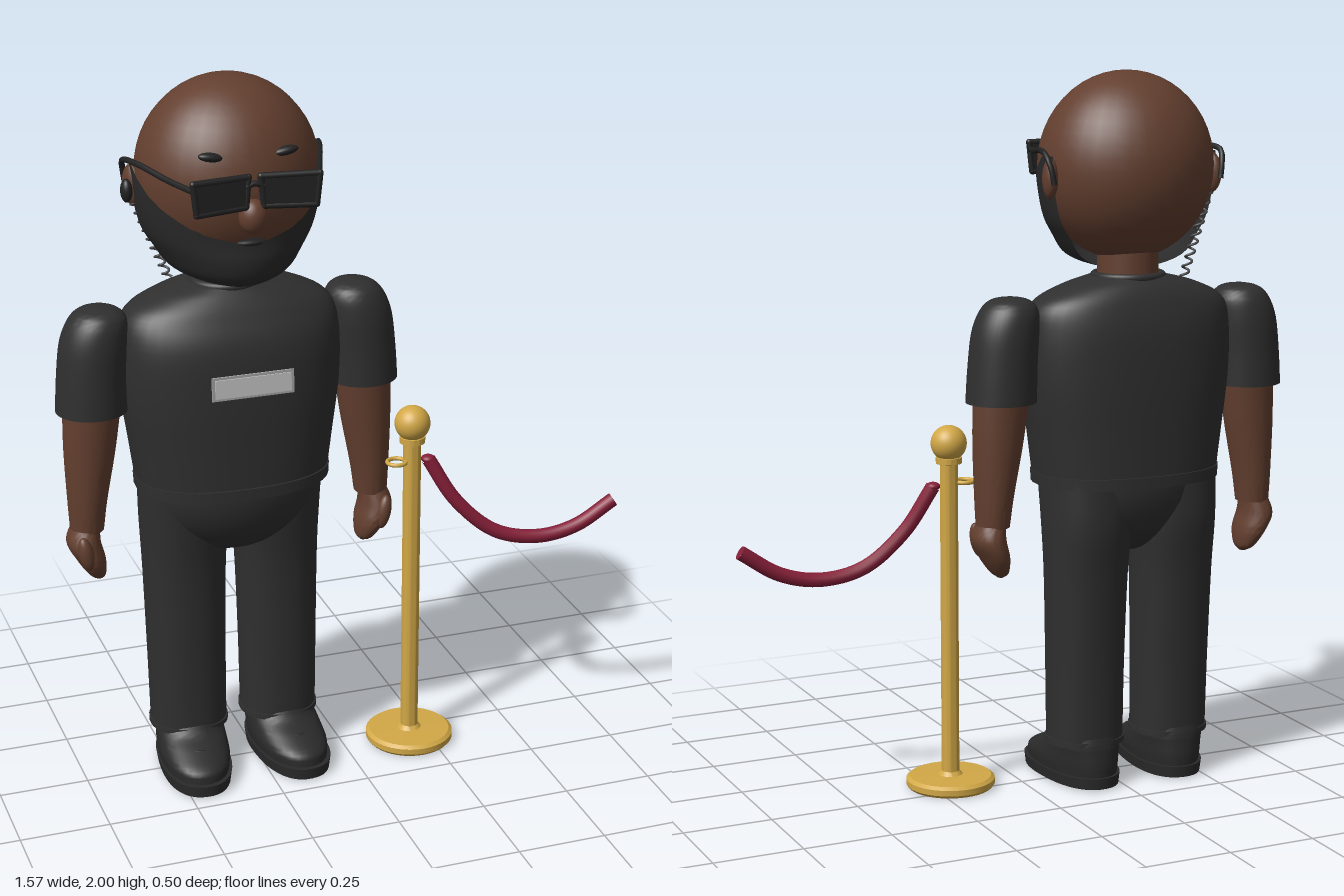
import * as THREE from 'three';
import { toCreasedNormals } from 'three/addons/utils/BufferGeometryUtils.js';

const mat = (name, color) => {
  const m = new THREE.MeshStandardMaterial({ color });
  m.name = name;
  return m;
};

export function createModel() {
  const model = new THREE.Group();
  const skin = mat('skin', 0x633f2f), cloth = mat('black cloth', 0x2f2f2f), dark = mat('beard and shoes', 0x2a2a2a);
  const frame = mat('glasses black', 0x222222), gold = mat('brass', 0xd2a847), red = mat('rope red', 0x861f38);
  const silver = mat('badge grey', 0xc8c8c8), rim = mat('badge border', 0xa6a6a6), eyeWhite = mat('eye white', 0xd8d8d8);
  const wireGrey = mat('wire grey', 0x4a4a4a);
  dark.side = THREE.DoubleSide;

  const man = new THREE.Group();
  man.name = 'guard';
  man.position.x = -0.304;
  model.add(man);

  const add = (name, geo, m, parent = man, x = 0, y = 0, z = 0) => {
    const mesh = new THREE.Mesh(geo, m);
    mesh.name = name;
    mesh.position.set(x, y, z);
    parent.add(mesh);
    return mesh;
  };
  const ball = (name, m, x, y, z, rx, ry, rz, parent = man) => {
    const b = add(name, new THREE.SphereGeometry(1, 32, 24), m, parent, x, y, z);
    b.scale.set(rx, ry, rz);
    return b;
  };
  const tube = (name, pts, r, m, parent = man, n = 24) => {
    const curve = new THREE.CatmullRomCurve3(pts.map(p => new THREE.Vector3(...p)));
    return add(name, new THREE.TubeGeometry(curve, n, r, 10), m, parent);
  };

  // Closed body from rows [y, cx, cz, rx, rz], bottom to top; e squares the outline
  const loft = (rows, e = 1, N = 40, sub = 5) => {
    const radii = new THREE.CatmullRomCurve3(rows.map(r => new THREE.Vector3(r[3], r[0], r[4])), false, 'catmullrom', 0.5);
    const mids = new THREE.CatmullRomCurve3(rows.map(r => new THREE.Vector3(r[1], r[0], r[2])), false, 'catmullrom', 0.5);
    const M = (rows.length - 1) * sub, pos = [], idx = [];
    const pw = v => Math.sign(v) * Math.abs(v) ** e;
    for (let j = -1; j <= M + 1; j++) {
      const t = Math.min(Math.max(j / M, 0), 1), r = radii.getPoint(t), c = mids.getPoint(t);
      const k = j < 0 || j > M ? 0 : 1;
      for (let i = 0; i <= N; i++) {
        const a = (i % N) / N * Math.PI * 2;
        pos.push(c.x + k * r.x * pw(Math.cos(a)), r.y, c.z + k * r.z * pw(Math.sin(a)));
      }
    }
    for (let j = 0; j < M + 2; j++) for (let i = 0; i < N; i++) {
      const a = j * (N + 1) + i, c = a + N + 1;
      idx.push(a, c, a + 1, a + 1, c, c + 1);
    }
    const g = new THREE.BufferGeometry();
    g.setAttribute('position', new THREE.Float32BufferAttribute(pos, 3));
    g.setIndex(idx);
    return toCreasedNormals(g, 0.7);
  };

  // Head and neck
  ball('head', skin, 0, 1.74, -0.022, 0.247, 0.26, 0.23);
  add('neck', new THREE.CylinderGeometry(0.085, 0.085, 0.18, 32), skin, man, 0, 1.49, -0.04);
  ball('nose', skin, 0, 1.68, 0.205, 0.038, 0.047, 0.038);

  // Beard: wraps the jaw, with a top edge that rises towards the ears
  const jaw = new THREE.CatmullRomCurve3([[0.0, 1.462, 0.06], [0.09, 1.468, 0.135], [0.165, 1.50, 0.185], [0.2, 1.55, 0.2],
    [0.23, 1.6, 0.198], [0.25, 1.69, 0.205], [0.256, 1.78, 0.21]].map(p => new THREE.Vector3(...p)));
  const jawPoints = jaw.getPoints(120);
  const beardPos = [], beardIdx = [], BU = 48, BV = 20;
  for (let i = 0; i <= BU; i++) {
    const a = (i / BU * 2 - 1) * 1.78;
    const top = 1.605 + 0.17 * (1 - Math.max(Math.cos(a), 0));
    const last = jawPoints.findIndex(p => p.y >= top);
    for (let j = 0; j <= BV; j++) {
      const p = jawPoints[Math.round(last * j / BV)];
      beardPos.push(p.x * Math.sin(a), p.y, -0.03 + (p.z + 0.03) * Math.cos(a));
      if (i < BU && j < BV) {
        const k = i * (BV + 1) + j, n = k + BV + 1;
        beardIdx.push(k, n, k + 1, k + 1, n, n + 1);
      }
    }
  }
  const beard = new THREE.BufferGeometry();
  beard.setAttribute('position', new THREE.Float32BufferAttribute(beardPos, 3));
  beard.setIndex(beardIdx);
  beard.computeVertexNormals();
  add('beard', beard, dark);
  ball('mouth', frame, 0, 1.604, 0.185, 0.04, 0.01, 0.016);

  // Shirt, hips and badge
  add('shirt', loft([[0.87, 0, -0.028, 0.265, 0.18], [1.0, 0, -0.028, 0.283, 0.181], [1.15, 0, -0.028, 0.303, 0.181],
    [1.29, 0, -0.03, 0.305, 0.172], [1.37, 0, -0.038, 0.283, 0.145], [1.415, 0, -0.042, 0.2, 0.12], [1.442, 0, -0.042, 0.1, 0.094]], 0.85), cloth);
  add('shirtHem', loft([[0.868, 0, -0.028, 0.27, 0.186], [0.9, 0, -0.028, 0.272, 0.186]], 0.85), cloth);
  const collar = add('collar', new THREE.TorusGeometry(0.094, 0.011, 10, 40), cloth, man, 0, 1.44, -0.042);
  collar.rotation.x = Math.PI / 2;
  ball('hips', cloth, 0, 0.875, -0.03, 0.255, 0.215, 0.172);
  add('badgeBorder', new THREE.BoxGeometry(0.226, 0.066, 0.005), rim, man, 0, 1.21, 0.186);
  add('badge', new THREE.BoxGeometry(0.21, 0.052, 0.005), silver, man, 0, 1.21, 0.189);

  for (const s of [-1, 1]) {
    const side = s < 0 ? 'right' : 'left';
    // Face details
    const ear = ball(side + 'Ear', skin, s * 0.248, 1.715, -0.06, 0.022, 0.056, 0.034);
    ear.rotation.y = s * -0.3;
    ball(side + 'Eye', eyeWhite, s * 0.09, 1.745, 0.165, 0.036, 0.036, 0.03);
    const brow = ball(side + 'Brow', frame, s * 0.1, 1.836, 0.172, 0.034, 0.012, 0.016);
    brow.rotation.z = s * 0.15;

    // Glasses: rounded lens in a frame, plus a temple hooked over the ear
    const lens = new THREE.Group();
    lens.name = side + 'Lens';
    lens.position.set(s * 0.094, 1.748, 0.232);
    lens.rotation.y = s * -0.13;
    man.add(lens);
    add('lensGlass', new THREE.BoxGeometry(0.135, 0.075, 0.014), frame, lens);
    const corners = [[-0.07, -0.036], [0.066, -0.04], [0.075, 0.042], [-0.078, 0.042]];
    corners.forEach(([x, y], i) => {
      const [u, v] = corners[(i + 1) % 4];
      tube('lensRim', [[s * x, y, 0], [s * u, v, 0]], 0.009, frame, lens, 2);
      ball('rimCorner', frame, s * x, y, 0, 0.009, 0.009, 0.009, lens);
    });
    tube(side + 'Temple', [[s * 0.166, 1.77, 0.24], [s * 0.205, 1.775, 0.13], [s * 0.25, 1.787, 0.0],
      [s * 0.268, 1.778, -0.075], [s * 0.262, 1.745, -0.095], [s * 0.255, 1.70, -0.1]], 0.008, frame);

    // Arms
    add(side + 'Sleeve', loft([[1.11, s * 0.384, -0.036, 0.098, 0.097], [1.2, s * 0.38, -0.036, 0.096, 0.096],
      [1.3, s * 0.371, -0.036, 0.093, 0.094], [1.36, s * 0.36, -0.036, 0.08, 0.082], [1.388, s * 0.357, -0.036, 0.053, 0.057],
      [1.398, s * 0.357, -0.036, 0.008, 0.008]]), cloth);
    add(side + 'Arm', loft([[0.765, s * 0.41, -0.036, 0.046, 0.052], [0.85, s * 0.406, -0.036, 0.054, 0.059],
      [1.0, s * 0.394, -0.036, 0.071, 0.066], [1.15, s * 0.382, -0.036, 0.081, 0.07]]), skin);
    add(side + 'Hand', loft([[0.617, s * 0.385, -0.03, 0.008, 0.012], [0.635, s * 0.39, -0.03, 0.025, 0.043],
      [0.68, s * 0.405, -0.03, 0.04, 0.067], [0.73, s * 0.422, -0.033, 0.046, 0.066], [0.785, s * 0.413, -0.036, 0.037, 0.045]]), skin);
    const thumb = ball(side + 'Thumb', skin, s * 0.428, 0.715, 0.025, 0.021, 0.05, 0.022);
    thumb.rotation.z = s * -0.2;

    // Legs
    add(side + 'Leg', loft([[0.13, s * 0.133, -0.05, 0.107, 0.1], [0.35, s * 0.134, -0.052, 0.11, 0.102],
      [0.6, s * 0.134, -0.056, 0.115, 0.112], [0.75, s * 0.132, -0.056, 0.122, 0.13], [0.88, s * 0.13, -0.045, 0.128, 0.14]], 0.9), cloth);
    add(side + 'TrouserCuff', loft([[0.125, s * 0.133, -0.05, 0.111, 0.104], [0.14, s * 0.133, -0.05, 0.111, 0.104]], 0.9), cloth);

    // Shoes, turned slightly outwards
    const shoe = new THREE.Group();
    shoe.name = side + 'Shoe';
    shoe.position.set(s * 0.138, 0, 0);
    shoe.rotation.y = s * 0.08;
    man.add(shoe);
    add('sole', loft([[0.008, 0, 0.018, 0.095, 0.188], [0.04, 0, 0.018, 0.1, 0.19]], 0.85), dark, shoe);
    add('upper', loft([[0.04, 0, 0.015, 0.094, 0.18], [0.07, 0, 0.01, 0.098, 0.176], [0.1, 0, -0.018, 0.096, 0.145],
      [0.125, 0, -0.045, 0.094, 0.115], [0.15, 0, -0.053, 0.09, 0.1]], 0.9), dark, shoe);
    [[0.119, 0.068], [0.1, 0.115]].forEach(([y, z]) =>
      tube('lace', [[-0.05, y - 0.006, z - 0.008], [0, y, z], [0.05, y - 0.006, z - 0.008]], 0.006, frame, shoe, 8));
  }
  tube('glassesBridge', [[-0.025, 1.765, 0.224], [0, 1.772, 0.222], [0.025, 1.765, 0.224]], 0.008, frame);

  // Earpiece with coiled wire down to the collar
  ball('earpiece', frame, -0.268, 1.705, -0.04, 0.016, 0.032, 0.022);
  const coil = [];
  for (let i = 0; i <= 144; i++) {
    const t = i / 144, a = t * Math.PI * 18;
    coil.push([-0.248 + 0.102 * t + 0.011 * Math.cos(a), 1.675 - 0.24 * t, -0.055 - 0.04 * t + 0.011 * Math.sin(a)]);
  }
  tube('coiledWire', coil, 0.0035, wireGrey, man, 300);

  // Barrier post and rope
  const barrier = new THREE.Group();
  barrier.name = 'barrier';
  barrier.position.set(0.195, 0, 0.06);
  model.add(barrier);
  const profile = [[0, 0], [0.118, 0], [0.125, 0.008], [0.125, 0.024], [0.115, 0.032], [0.034, 0.034], [0.025, 0.045],
    [0.025, 0.925], [0.036, 0.928], [0.036, 0.945], [0, 0.95]].map(p => new THREE.Vector2(...p));
  add('post', toCreasedNormals(new THREE.LatheGeometry(profile, 40), 0.6), gold, barrier, 0, 0.004, 0);
  ball('postKnob', gold, 0, 0.988, 0, 0.05, 0.05, 0.05, barrier);
  const ring = add('postHook', new THREE.TorusGeometry(0.026, 0.006, 10, 28), gold, barrier, -0.046, 0.877, 0);
  ring.rotation.x = Math.PI / 2;
  tube('rope', [[0.245, 0.872, 0.055], [0.32, 0.745, 0.085], [0.43, 0.648, 0.112], [0.55, 0.622, 0.133],
    [0.66, 0.645, 0.148], [0.77, 0.715, 0.16]], 0.02, red, model, 48);
  ball('ropeEndInner', red, 0.245, 0.872, 0.055, 0.02, 0.012, 0.02, model);
  const cap = add('ropeEndOuter', new THREE.CircleGeometry(0.02, 16), red, model, 0.77, 0.715, 0.16);
  cap.lookAt(0.88, 0.785, 0.172);

  return model;
}
